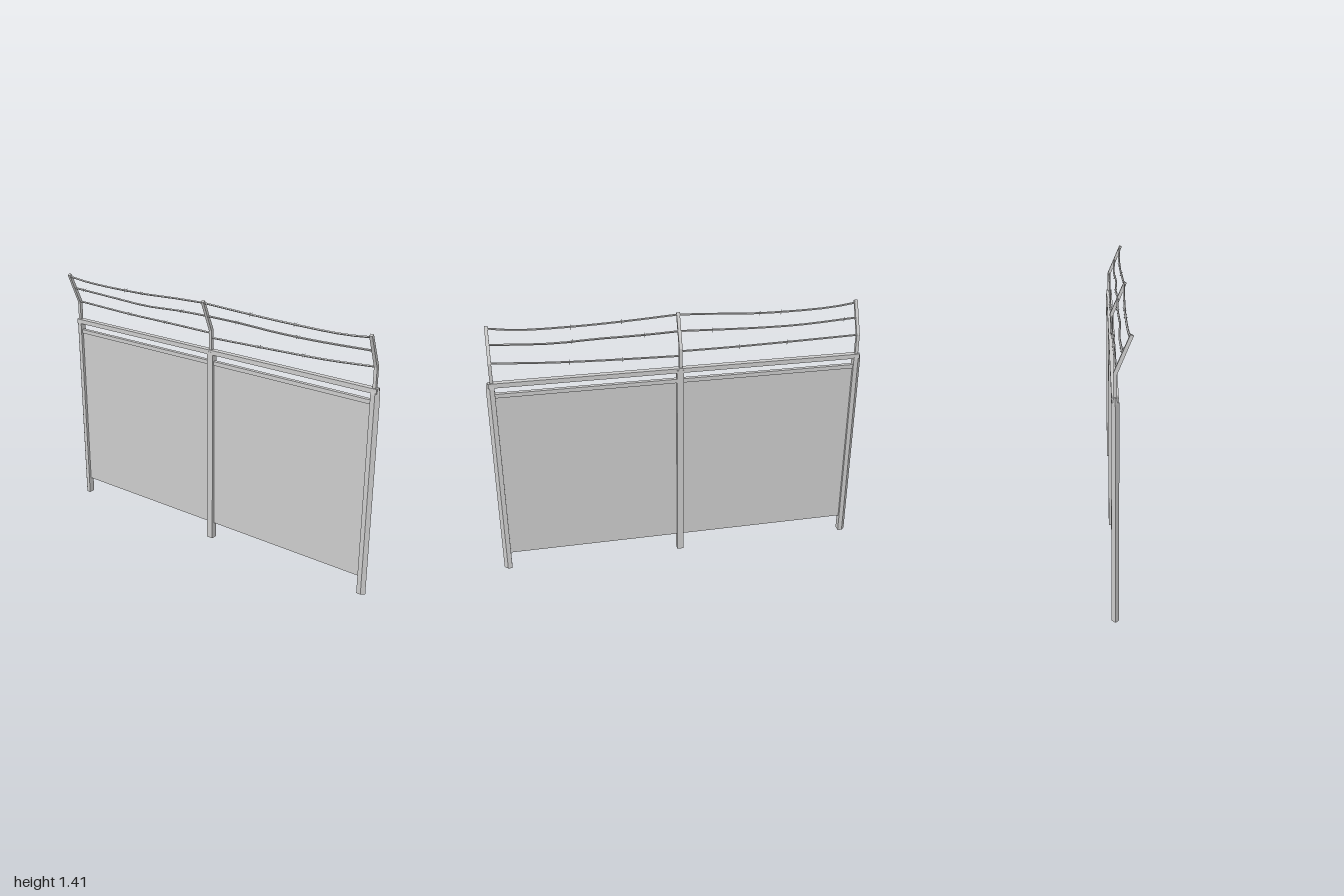
import * as THREE from 'three';

const Z = -0.029; // fence line
const mat = new THREE.MeshStandardMaterial({ color: 0xcccccc, flatShading: true });

export function createModel() {
  const group = new THREE.Group();
  group.name = 'fence';

  const add = (name, geo, x = 0, y = 0, z = 0) => {
    const m = new THREE.Mesh(geo, mat);
    m.name = name;
    m.position.set(x, y, z);
    group.add(m);
    return m;
  };
  const box = (name, w, h, d, x, y, z = Z) => add(name, new THREE.BoxGeometry(w, h, d), x, y, z);

  // Upright with the given plan outline, narrowing over its last few centimetres
  const post = (name, outline, x) => {
    const shape = new THREE.Shape(outline.map(([a, b]) => new THREE.Vector2(a, b)));
    const geo = new THREE.ExtrudeGeometry(shape, { depth: 1.13, steps: 2, bevelEnabled: false });
    geo.rotateX(-Math.PI / 2);
    const p = geo.attributes.position;
    for (let i = 0; i < p.count; i++) {
      const y = p.getY(i);
      if (y > 1) p.setXYZ(i, p.getX(i) * 0.72, y, p.getZ(i) * 0.8);
      else if (y > 0.3) p.setY(i, 1.1);
    }
    geo.computeVertexNormals();
    add(name, geo, x, 0, Z);
  };

  // End posts have an outward point, the middle post is square
  for (const s of [-1, 1]) {
    post(s < 0 ? 'rightPost' : 'leftPost',
      [[-0.02, -0.018], [0.004, -0.018], [0.023, 0], [0.004, 0.018], [-0.02, 0.018]].map(([a, b]) => [a * s, b]),
      0.977 * s);
  }
  box('middlePost', 0.036, 1.12, 0.036, -0.001, 0.56);

  // Rails and infill panels
  box('topRail', 1.976, 0.025, 0.032, 0, 1.1175);
  for (const s of [-1, 1]) {
    box('lowerRail', 0.942, 0.022, 0.022, 0.488 * s, 1.058);
    box('panel', 0.942, 0.955, 0.006, 0.488 * s, 0.5725);
  }

  // Bent arms leaning forward above the posts
  const profile = [[-0.038, 1.12], [-0.02, 1.12], [-0.02, 1.234], [0.05, 1.404], [0.036, 1.411], [-0.038, 1.238]];
  for (const x of [-0.973, -0.005, 0.97]) {
    const geo = new THREE.ExtrudeGeometry(new THREE.Shape(profile.map(([a, b]) => new THREE.Vector2(a, b))),
      { depth: 0.017, bevelEnabled: false });
    geo.translate(0, 0, -0.0085);
    geo.rotateY(-Math.PI / 2);
    add('arm', geo, x);
  }

  // Sagging wires: control points, then x positions of the barbs
  const wires = [
    [[[-0.973, 1.395, 0.036], [-0.83, 1.38, 0.031], [-0.45, 1.377, 0.027], [-0.2, 1.39, 0.031], [-0.005, 1.398, 0.037]], [-0.555, -0.44]],
    [[[-0.005, 1.398, 0.037], [0.28, 1.385, 0.03], [0.55, 1.378, 0.026], [0.82, 1.38, 0.029], [0.97, 1.396, 0.037]], [0.29, 0.55]],
    [[[-0.973, 1.322, 0.004], [-0.65, 1.308, -0.004], [-0.43, 1.305, 0.005], [-0.2, 1.315, -0.002], [-0.005, 1.32, 0.004]], [-0.9, -0.18]],
    [[[-0.005, 1.32, 0.004], [0.2, 1.316, -0.003], [0.42, 1.311, 0.005], [0.65, 1.308, -0.004], [0.97, 1.322, 0.004]], [0.18, 0.55]],
    [[[-0.973, 1.236, -0.03], [-0.58, 1.226, -0.027], [-0.3, 1.223, -0.031], [-0.005, 1.221, -0.029]], [-0.58, -0.32]],
    [[[-0.005, 1.195, -0.029], [0.4, 1.205, -0.031], [0.7, 1.216, -0.028], [0.97, 1.236, -0.029]], [0.3, 0.57]],
  ];
  for (const [pts, barbs] of wires) {
    const curve = new THREE.CatmullRomCurve3(pts.map(p => new THREE.Vector3(...p)));
    add('wire', new THREE.TubeGeometry(curve, 10, 0.0055, 5, false));
    const first = pts[0][0], last = pts[pts.length - 1][0];
    for (const x of barbs) {
      const at = curve.getPointAt((x - first) / (last - first));
      for (const tilt of [0.6, -0.9]) {
        const barb = add('barb', new THREE.CylinderGeometry(0.0015, 0.0015, 0.026, 4), at.x, at.y, at.z);
        barb.rotation.set(tilt, 0, tilt * 0.3);
      }
    }
  }
  return group;
}
